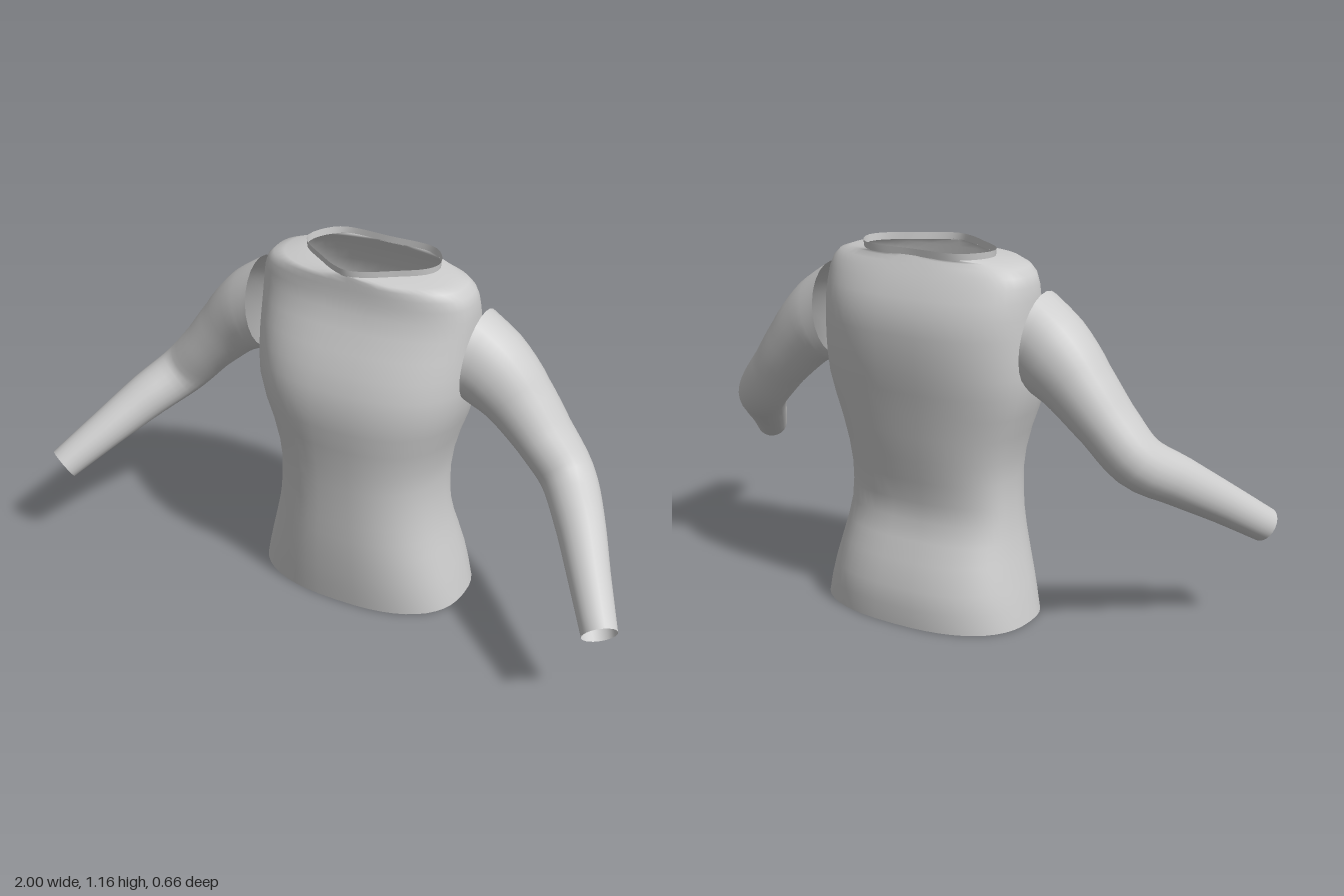
import * as THREE from 'three';

const fabric = new THREE.MeshStandardMaterial({ color: 0xcccccc, side: THREE.DoubleSide });
fabric.name = 'light grey fabric';

// Skin a list of closed rings (equal point counts) into an open tube
function loft(name, rings) {
  const n = rings[0].length, pos = [], index = [];
  rings.forEach(r => r.forEach(p => pos.push(p.x, p.y, p.z)));
  for (let i = 0; i < rings.length - 1; i++) {
    for (let j = 0; j < n; j++) {
      const k = (j + 1) % n, a = i * n, b = a + n;
      index.push(a + j, a + k, b + j, a + k, b + k, b + j);
    }
  }
  const g = new THREE.BufferGeometry();
  g.setAttribute('position', new THREE.Float32BufferAttribute(pos, 3));
  g.setIndex(index);
  g.computeVertexNormals();
  const mesh = new THREE.Mesh(g, fabric);
  mesh.name = name;
  return mesh;
}

const SIDES = 48;

// Body cross-section: rounded oval with separate front and back depth
function bodyRing([y, w, front, back]) {
  const zc = -0.09, e = 2 / 2.45, ring = [];
  for (let j = 0; j < SIDES; j++) {
    const a = j / SIDES * Math.PI * 2, s = Math.sin(a), c = Math.cos(a);
    const depth = c > 0 ? front - zc : zc - back;
    ring.push(new THREE.Vector3(
      w * Math.sign(s) * Math.abs(s) ** e, y,
      zc + depth * Math.sign(c) * Math.abs(c) ** e));
  }
  return ring;
}

// Neck opening: pointed at the front, straight across the back
const neckHalf = [[0.05, 0.045], [0.12, 0.0], [0.205, -0.065], [0.222, -0.11], [0.195, -0.175], [0.15, -0.21]];
function neckRing(y, grow = 1) {
  const pts = [[0, 0.06], ...neckHalf, [0, -0.213], ...neckHalf.map(([x, z]) => [-x, z]).reverse()];
  const curve = new THREE.CatmullRomCurve3(
    pts.map(([x, z]) => new THREE.Vector3(x * grow, y, -0.08 + (z + 0.08) * grow)), true);
  return curve.getSpacedPoints(SIDES).slice(0, SIDES);
}

// Sleeve: round sections swept from the shoulder past the elbow to the cuff
function sleeve(name, side) {
  // x, y, z, radius up-down, radius front-back
  const stations = [
    [0.372, 0.91, -0.085, 0.15, 0.125], [0.43, 0.868, -0.09, 0.133, 0.122],
    [0.51, 0.79, -0.092, 0.108, 0.11], [0.6, 0.69, -0.085, 0.09, 0.1],
    [0.69, 0.588, -0.065, 0.084, 0.088], [0.775, 0.512, 0.035, 0.076, 0.077],
    [0.865, 0.42, 0.165, 0.064, 0.064], [0.955, 0.325, 0.293, 0.054, 0.054]];
  const curve = new THREE.CatmullRomCurve3(stations.map(([x, y, z]) => new THREE.Vector3(side * x, y, z)));
  const armhole = new THREE.Vector3(side * 0.993, -0.116, 0);
  const rings = [], steps = 28, n = 24;
  for (let i = 0; i <= steps; i++) {
    const u = i / steps, f = u * (stations.length - 1);
    const k = Math.min(Math.floor(f), stations.length - 2);
    const mix = m => THREE.MathUtils.lerp(stations[k][m], stations[k + 1][m], f - k);
    const centre = curve.getPoint(u);
    const t = curve.getTangent(u).lerp(armhole, Math.max(0, 1 - u / 0.25)).normalize();
    const fwd = new THREE.Vector3(0, 0, 1).addScaledVector(t, -t.z).normalize();
    const up = t.clone().cross(fwd);
    const ring = [];
    for (let j = 0; j < n; j++) {
      const a = j / n * Math.PI * 2;
      ring.push(centre.clone().addScaledVector(fwd, mix(4) * Math.cos(a)).addScaledVector(up, mix(3) * Math.sin(a)));
    }
    rings.push(ring);
  }
  return loft(name, rings);
}

export function createModel() {
  const group = new THREE.Group();
  group.name = 'longSleevedShirt';

  // Body: height, half width, front z, back z
  const sections = [
    [0, 0.355, 0.14, -0.33], [0.06, 0.342, 0.146, -0.33], [0.12, 0.327, 0.151, -0.322],
    [0.2, 0.306, 0.155, -0.295], [0.26, 0.292, 0.156, -0.267], [0.32, 0.282, 0.156, -0.245],
    [0.38, 0.277, 0.156, -0.243], [0.45, 0.276, 0.157, -0.253], [0.52, 0.285, 0.16, -0.264],
    [0.6, 0.306, 0.167, -0.275], [0.67, 0.331, 0.176, -0.282], [0.74, 0.35, 0.177, -0.292],
    [0.8, 0.356, 0.166, -0.3], [0.86, 0.358, 0.147, -0.304], [0.92, 0.358, 0.12, -0.305],
    [0.98, 0.358, 0.09, -0.3], [1.03, 0.356, 0.07, -0.28], [1.07, 0.352, 0.063, -0.26],
    [1.1, 0.342, 0.061, -0.242], [1.122, 0.32, 0.06, -0.228], [1.136, 0.28, 0.059, -0.219]];
  group.add(loft('body', [...sections.map(bodyRing), neckRing(1.145)]));

  // Collar band standing around the neck opening
  group.add(loft('collar', [neckRing(1.143), neckRing(1.165, 1.01)]));

  group.add(sleeve('leftSleeve', 1), sleeve('rightSleeve', -1));
  return group;
}
